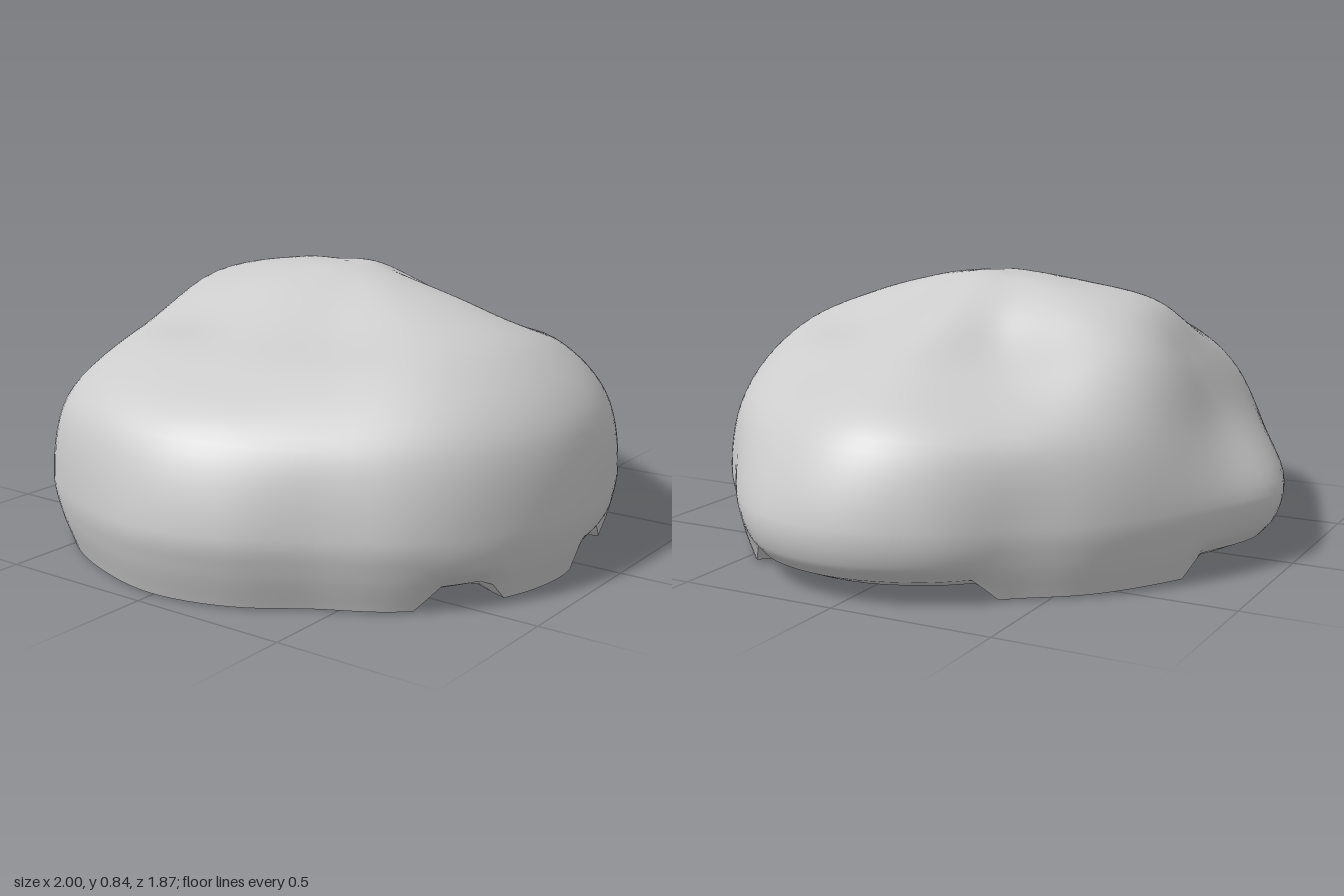
import * as THREE from 'three';

const COLS = 144, ROWS = 56, TOP = 0.843, MID = 0.22;

// widest outline, one radius every 15 degrees from +x towards +z
const OUTLINE = [1, 0.99, 0.92, 0.87, 0.88, 0.89, 0.915, 0.955, 0.97, 0.97, 0.94, 0.98,
  1, 0.98, 0.965, 0.945, 0.91, 0.92, 0.935, 0.89, 0.87, 0.87, 0.87, 0.95];

// distance from the core at each elevation, one value every 30 degrees
const SHELLS = [
  [65, [0.615, 0.60, 0.60, 0.64, 0.65, 0.63, 0.625, 0.63, 0.645, 0.66, 0.66, 0.62]],
  [45, [0.655, 0.62, 0.63, 0.725, 0.73, 0.67, 0.67, 0.66, 0.72, 0.76, 0.745, 0.62]],
  [30, [0.765, 0.71, 0.77, 0.84, 0.855, 0.79, 0.785, 0.82, 0.78, 0.77, 0.82, 0.73]],
  [15, [0.93, 0.86, 0.86, 0.92, 0.96, 0.91, 0.945, 0.955, 0.84, 0.80, 0.85, 0.86]],
];

// stretches of the lower rim lifted off the ground, in degrees
const LIFTED = [[-25, 29], [75, 94], [117, 130], [252, 290]];

// periodic Catmull-Rom lookup
function around(list, deg) {
  const n = list.length, t = (deg / 360) * n, i = Math.floor(t), f = t - i;
  const [a, b, c, d] = [-1, 0, 1, 2].map(k => list[(i + k + n) % n]);
  return b + 0.5 * f * (c - a + f * (2 * a - 5 * b + 4 * c - d + f * (3 * (b - c) + d - a)));
}

function rimHeight(deg) {
  let lift = 0;
  for (const [from, to] of LIFTED) for (const turn of [0, 360]) {
    const inside = Math.min(deg - from - turn, to + turn - deg);
    lift = Math.max(lift, THREE.MathUtils.smoothstep(inside, -1.5, 1.5));
  }
  return 0.005 + 0.065 * lift;
}

// side profile (radius, height) at one bearing, from summit to rim
function sideProfile(deg) {
  const r = around(OUTLINE, deg), rim = rimHeight(deg);
  const pts = [[0, TOP], [0.1, TOP - 0.008]];
  for (const [elevation, list] of SHELLS) {
    const e = THREE.MathUtils.degToRad(elevation), d = around(list, deg);
    pts.push([d * Math.cos(e), MID + d * Math.sin(e)]);
  }
  pts.push([r, MID], [r * 0.985, 0.12], [r * 0.945, rim]);
  return new THREE.CatmullRomCurve3(pts.map(([x, y]) => new THREE.Vector3(x, y, 0))).getPoints(ROWS);
}

// underside profile from rim to centre
function baseProfile(deg) {
  const r = around(OUTLINE, deg), rim = rimHeight(deg);
  return [[0.945, rim], [0.88, rim * 0.6], [0.75, rim * 0.4], [0.4, rim * 0.2], [0, 0]]
    .map(([k, y]) => new THREE.Vector3(r * k, y, 0));
}

// sweeps a bearing-dependent profile around the vertical axis
function sweep(name, profile, material) {
  const position = [], index = [];
  let rows = 0;
  for (let c = 0; c < COLS; c++) {
    const deg = (c / COLS) * 360, a = THREE.MathUtils.degToRad(deg);
    const pts = profile(deg);
    rows = pts.length;
    for (const p of pts) position.push(p.x * Math.cos(a), p.y, p.x * Math.sin(a));
  }
  for (let c = 0; c < COLS; c++) for (let j = 0; j < rows - 1; j++) {
    const p = c * rows + j, q = ((c + 1) % COLS) * rows + j;
    index.push(p, q, p + 1, q, q + 1, p + 1);
  }
  const geometry = new THREE.BufferGeometry();
  geometry.setAttribute('position', new THREE.Float32BufferAttribute(position, 3));
  geometry.setIndex(index);
  geometry.computeVertexNormals();
  const mesh = new THREE.Mesh(geometry, material);
  mesh.name = name;
  return mesh;
}

export function createModel() {
  const group = new THREE.Group();
  group.name = 'boulder';
  const stone = new THREE.MeshStandardMaterial({ color: 0xcccccc });
  group.add(sweep('boulderBody', sideProfile, stone), sweep('boulderUnderside', baseProfile, stone));
  return group;
}
